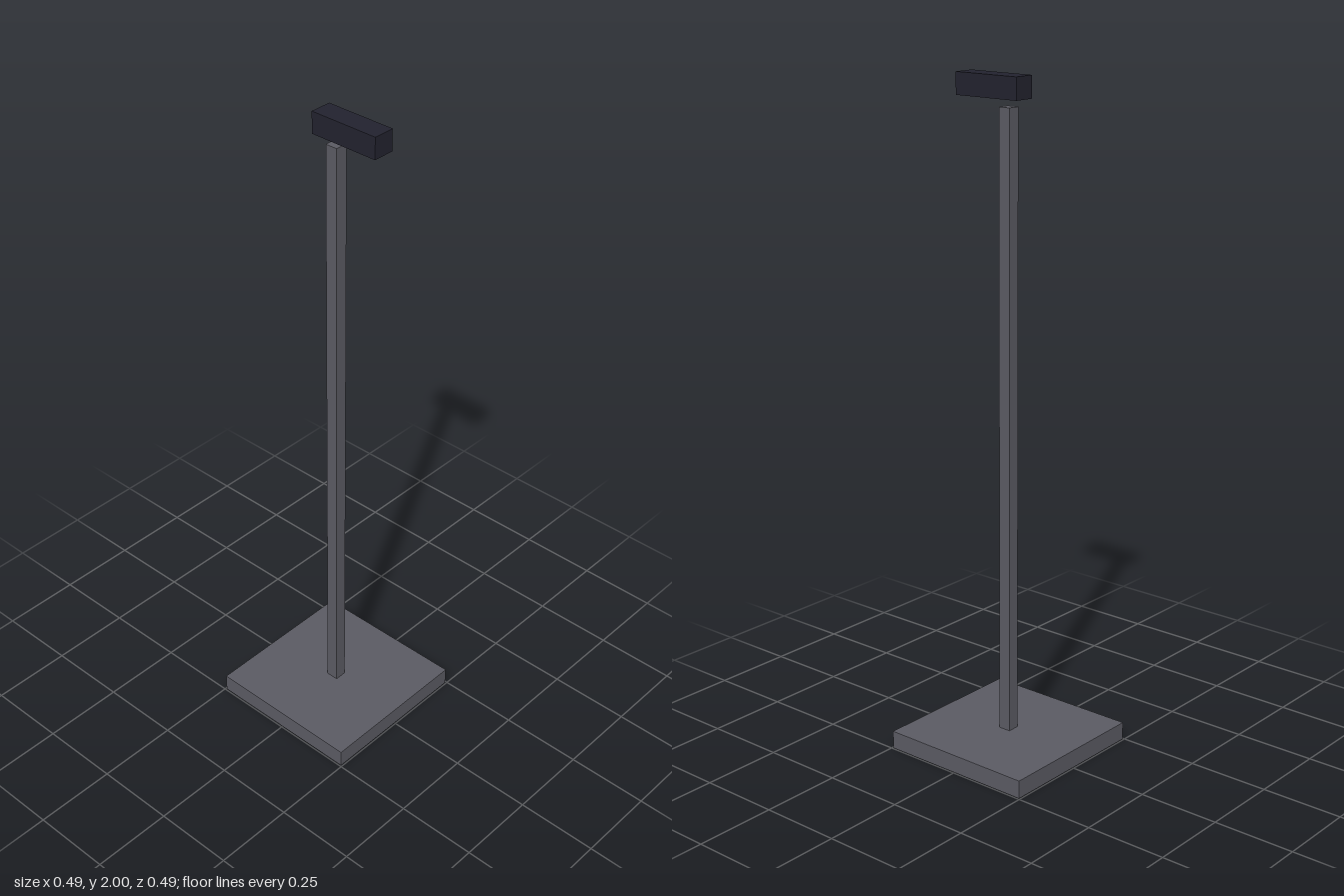
import * as THREE from 'three';

export function createModel() {
  const group = new THREE.Group();
  const grey = new THREE.MeshStandardMaterial({ color: 0x5a5a62 });
  grey.name = 'dark grey metal';
  const black = new THREE.MeshStandardMaterial({ color: 0x22222e });
  black.name = 'blue black';

  // Box standing between y0 and y1, centred at z
  const addBox = (name, material, width, depth, y0, y1, z = 0) => {
    const mesh = new THREE.Mesh(new THREE.BoxGeometry(width, y1 - y0, depth), material);
    mesh.name = name;
    mesh.position.set(0, (y0 + y1) / 2, z);
    group.add(mesh);
  };

  // Square foot plate and slim square pole
  addBox('base', grey, 0.492, 0.492, 0, 0.055);
  addBox('pole', grey, 0.038, 0.038, 0.055, 1.913);

  // Head floats just above the pole and reaches forward
  addBox('head', black, 0.066, 0.218, 1.936, 2, 0.054);

  return group;
}
